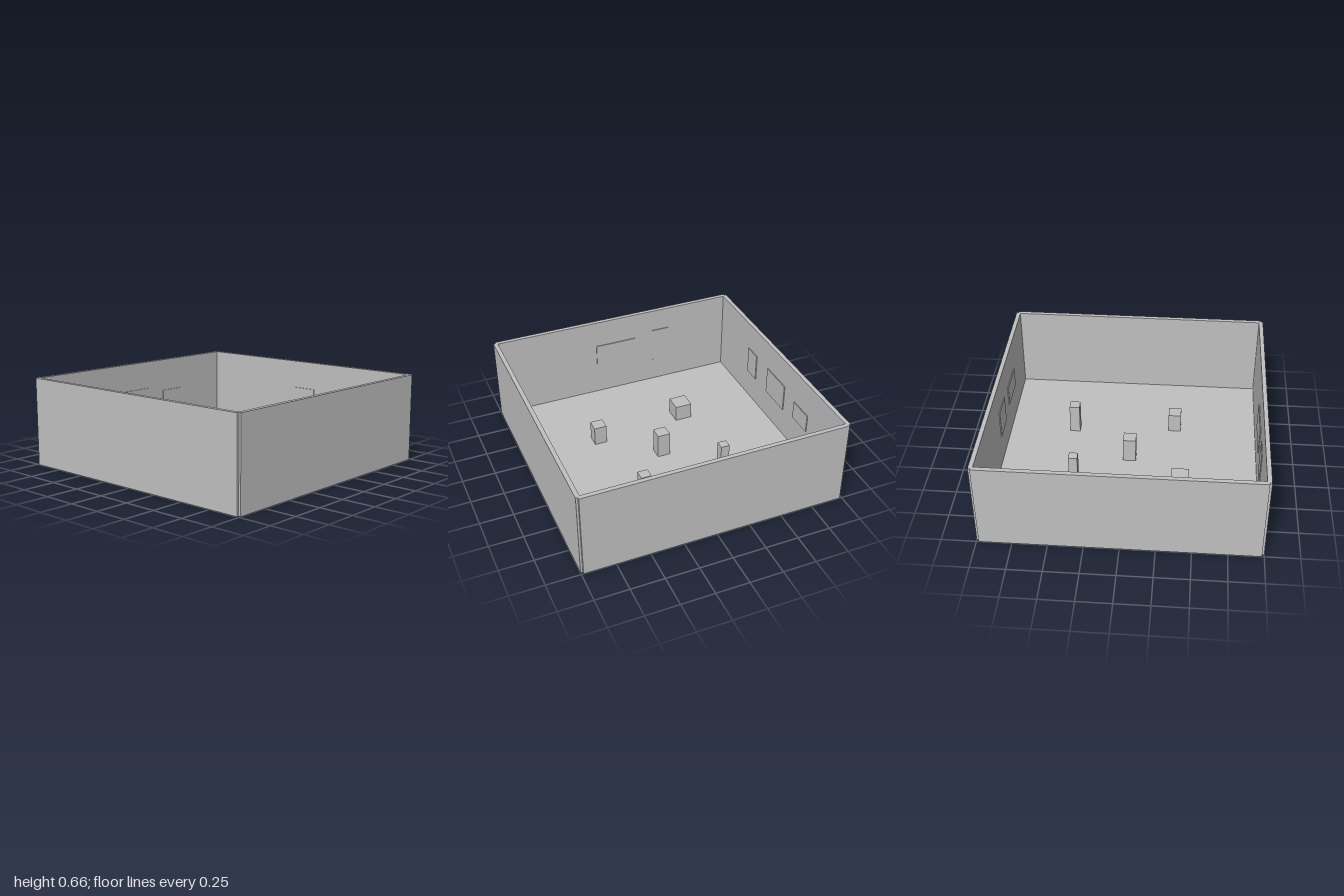
import * as THREE from 'three';

export function createModel() {
  const model = new THREE.Group();
  const plaster = new THREE.MeshStandardMaterial({ color: 0xc0c0c0 });
  plaster.name = 'plaster grey';

  // Box standing on a given base height
  function block(name, w, h, d, x, base, z) {
    const mesh = new THREE.Mesh(new THREE.BoxGeometry(w, h, d), plaster);
    mesh.name = name;
    mesh.position.set(x, base + h / 2, z);
    model.add(mesh);
    return mesh;
  }

  const HALF = 0.984;   // wall centre line
  const THICK = 0.032;
  const HEIGHT = 0.657;
  const INNER = HALF - THICK / 2;
  const PANEL = 0.007;

  // Floor
  block('floor', HALF * 2, 0.004, HALF * 2, 0, 0, 0);

  // Four walls; each stops at the centre line, leaving notched corners
  for (const s of [-1, 1]) {
    block(s < 0 ? 'backWall' : 'frontWall', HALF * 2, HEIGHT, THICK, 0, 0, s * HALF);
    block(s < 0 ? 'rightWall' : 'leftWall', THICK, HEIGHT, HALF * 2, s * HALF, 0, 0);
  }

  // Pedestals: x, z, width, height
  const pedestals = [
    [-0.394, -0.33, 0.131, 0.131],
    [0.393, -0.33, 0.066, 0.262],
    [0, 0, 0.097, 0.197],
    [-0.33, 0.393, 0.097, 0.155],
    [0.457, 0.326, 0.078, 0.236],
  ];
  for (const [x, z, w, h] of pedestals) block('pedestal', w, h, w, x, 0, z);

  // Hung pictures: centre along the wall, width, bottom, top
  const backPictures = [
    [-0.393, 0.14, 0.226, 0.44],
    [0, 0.277, 0.226, 0.44],
    [0.393, 0.202, 0.258, 0.4],
  ];
  for (const [x, w, lo, hi] of backPictures) {
    block('backPicture', w, hi - lo, PANEL, x, lo, -INNER + PANEL / 2);
  }

  // Side pictures: wall sign, centre along z, width, bottom, top
  const sidePictures = [
    [-1, -0.394, 0.14, 0.196, 0.476],
    [-1, 0, 0.335, 0.226, 0.44],
    [1, 0, 0.202, 0.226, 0.44],
    [1, 0.392, 0.273, 0.26, 0.415],
  ];
  for (const [s, z, w, lo, hi] of sidePictures) {
    block('sidePicture', PANEL, hi - lo, w, s * (INNER - PANEL / 2), lo, z);
  }

  return model;
}
